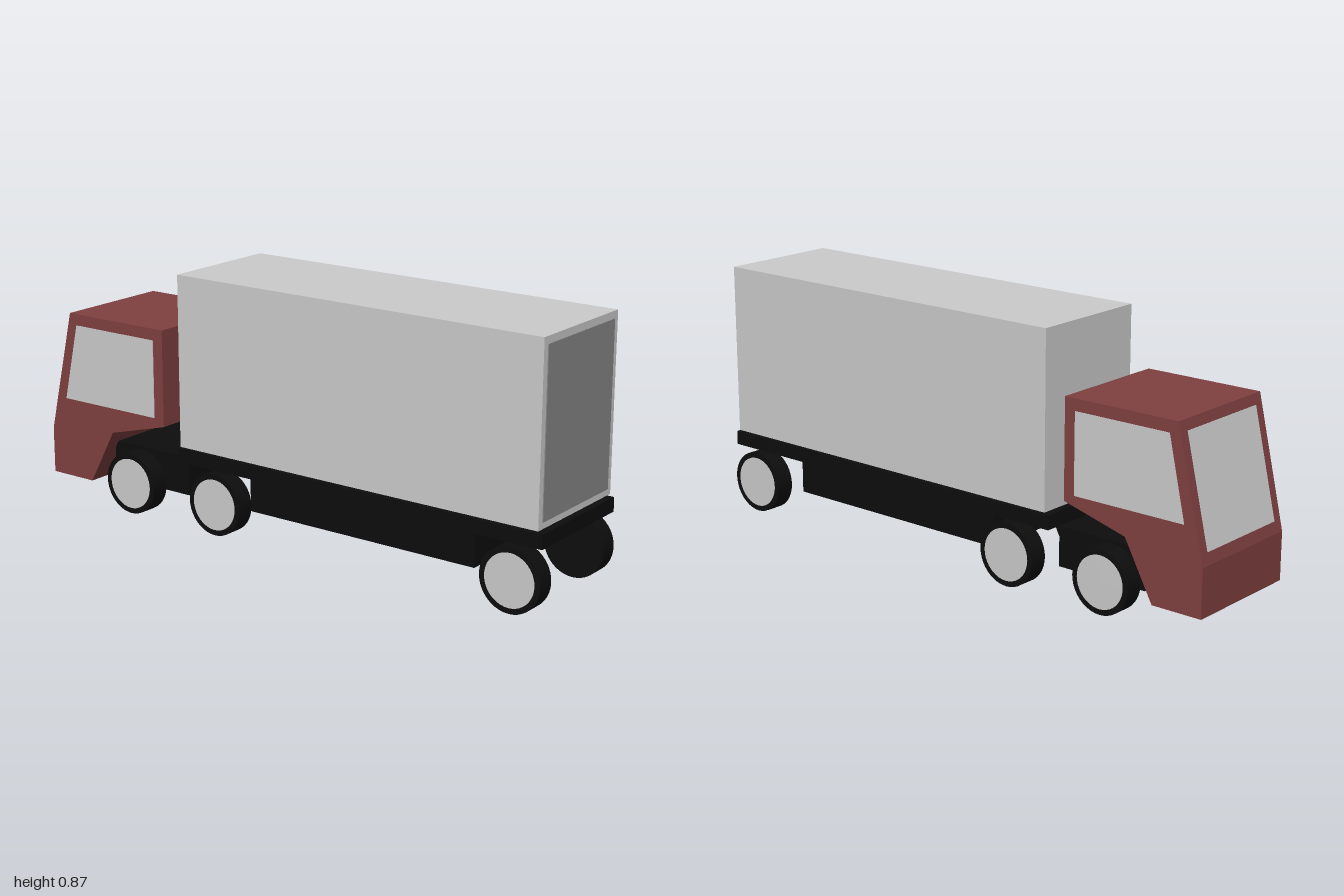
import * as THREE from 'three';

const mat = (name, color) => {
  const m = new THREE.MeshStandardMaterial({ color });
  m.name = name;
  return m;
};

export function createModel() {
  const truck = new THREE.Group();
  truck.name = 'truck';
  const red = mat('cabRed', 0x804040);
  const lightGrey = mat('lightGrey', 0xcccccc);
  const doorGrey = mat('doorGrey', 0x888888);
  const black = mat('black', 0x0d0d0d);

  const add = (name, geometry, material, parent = truck) => {
    const mesh = new THREE.Mesh(geometry, material);
    mesh.name = name;
    parent.add(mesh);
    return mesh;
  };

  // Box spanning the given ranges, symmetric in x
  const block = (name, halfWidth, y0, y1, z0, z1, material) =>
    add(name, new THREE.BoxGeometry(halfWidth * 2, y1 - y0, z1 - z0), material)
      .position.set(0, (y0 + y1) / 2, (z0 + z1) / 2);

  // Side profile of [z, y] points, extruded from x0 to x1
  const profile = (name, points, x0, x1, material) => {
    const shape = new THREE.Shape(points.map(([z, y]) => new THREE.Vector2(-z, y)));
    const g = new THREE.ExtrudeGeometry(shape, { depth: x1 - x0, bevelEnabled: false });
    g.rotateY(Math.PI / 2);
    g.translate(x0, 0, 0);
    return add(name, g, material);
  };

  // Cargo box with rear door panel
  block('cargoBox', 0.217, 0.28, 0.87, -0.405, 0.985, lightGrey);
  block('rearDoor', 0.195, 0.302, 0.846, 0.984, 0.988, doorGrey);

  // Chassis
  block('trailerDeck', 0.217, 0.225, 0.273, -0.42, 1, black);
  block('trailerFrame', 0.16, 0.09, 0.226, -0.15, 0.73, black);
  block('cabFrame', 0.16, 0.09, 0.225, -0.755, -0.42, black);

  // Cab
  const top = [-0.9, 0.67], crease = [-1, 0.24];
  profile('cab', [
    [-0.48, 0.67], top, crease, [-1, 0.078], [-0.82, 0.078], [-0.715, 0.272], [-0.48, 0.335],
  ], -0.215, 0.215, red);

  // Side windows
  const pane = [[-0.52, 0.63], [-0.87, 0.63], [-0.93, 0.36], [-0.52, 0.36]];
  profile('leftWindow', pane, 0.214, 0.217, lightGrey);
  profile('rightWindow', pane, -0.217, -0.214, lightGrey);

  // Windscreen: thin plate lying on the sloped face
  const onSlope = (t, lift) => [
    top[0] + (crease[0] - top[0]) * t - 0.974 * lift,
    top[1] + (crease[1] - top[1]) * t + 0.227 * lift,
  ];
  profile('windscreen', [
    onSlope(0.08, -0.001), onSlope(0.08, 0.002), onSlope(0.91, 0.002), onSlope(0.91, -0.001),
  ], -0.18, 0.18, lightGrey);

  // Wheels: black tyre with a pale hub disc on the outer face
  const tyre = new THREE.CylinderGeometry(0.107, 0.107, 0.065, 40).rotateZ(-Math.PI / 2);
  const hub = new THREE.CylinderGeometry(0.088, 0.088, 0.003, 40).rotateZ(-Math.PI / 2);
  for (const [axle, z] of [['cab', -0.63], ['trailerFront', -0.255], ['trailerRear', 0.895]]) {
    for (const side of [1, -1]) {
      const wheel = new THREE.Group();
      wheel.name = `${axle}${side > 0 ? 'Left' : 'Right'}Wheel`;
      wheel.position.set(side * 0.1915, 0.107, z);
      add('tyre', tyre, black, wheel);
      add('hub', hub, lightGrey, wheel).position.x = side * 0.0325;
      truck.add(wheel);
    }
  }
  return truck;
}
